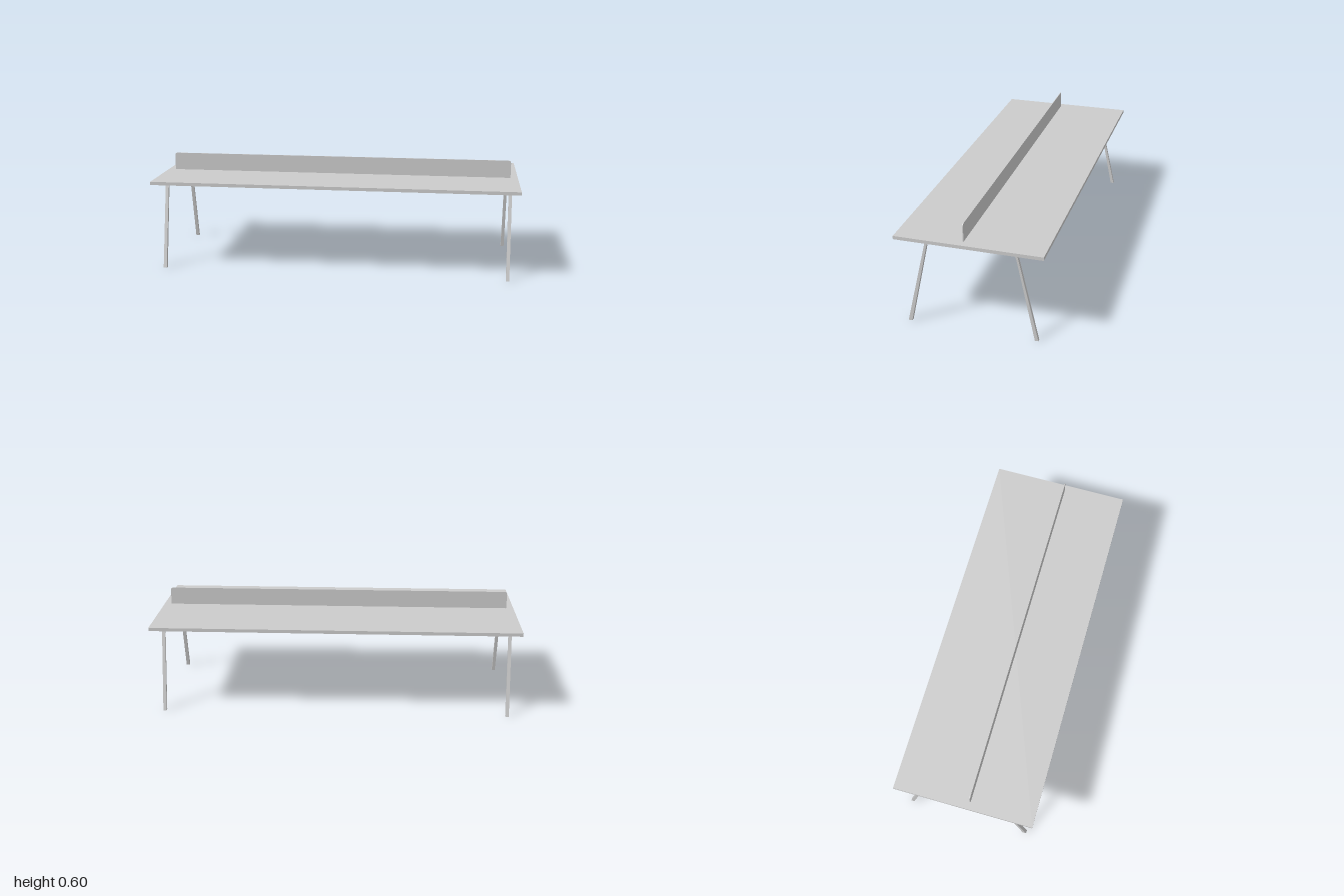
import * as THREE from 'three';

const grey = new THREE.MeshStandardMaterial({ color: 0xcccccc });

function addMesh(group, name, geometry, x, y, z) {
  const mesh = new THREE.Mesh(geometry, grey);
  mesh.name = name;
  mesh.position.set(x, y, z);
  group.add(mesh);
}

// Splayed, tapering legs joined by a crossbar, drawn in (z, y)
function legFrameGeometry() {
  const depth = 0.018;
  const s = new THREE.Shape();
  s.moveTo(0.342, 0);
  s.lineTo(0.228, 0.485);
  s.lineTo(-0.235, 0.485);
  s.lineTo(-0.346, 0);
  s.lineTo(-0.328, 0);
  s.lineTo(-0.233, 0.451);
  s.quadraticCurveTo(-0.228, 0.464, -0.21, 0.468);
  s.lineTo(0.205, 0.468);
  s.lineTo(0.222, 0.457);
  s.lineTo(0.322, 0);
  s.closePath();
  return new THREE.ExtrudeGeometry(s, { depth, bevelEnabled: false, curveSegments: 4 })
    .translate(0, 0, -depth / 2)
    .rotateY(-Math.PI / 2);
}

// Thin divider with rounded upper corners
function screenGeometry(w, h, r, depth) {
  const s = new THREE.Shape();
  s.moveTo(-w, 0);
  s.lineTo(w, 0);
  s.lineTo(w, h - r);
  s.quadraticCurveTo(w, h, w - r, h);
  s.lineTo(-w + r, h);
  s.quadraticCurveTo(-w, h, -w, h - r);
  s.closePath();
  return new THREE.ExtrudeGeometry(s, { depth, bevelEnabled: false, curveSegments: 6 })
    .translate(0, 0, -depth / 2);
}

export function createModel() {
  const group = new THREE.Group();
  group.name = 'benchDesk';

  addMesh(group, 'tableTop', new THREE.BoxGeometry(2, 0.018, 0.76), 0, 0.494, 0);
  addMesh(group, 'dividerScreen', screenGeometry(0.96, 0.097, 0.016, 0.005), 0, 0.503, 0.032);

  const frame = legFrameGeometry();
  addMesh(group, 'leftLegFrame', frame, 0.951, 0, 0);
  addMesh(group, 'rightLegFrame', frame, -0.951, 0, 0);

  return group;
}
